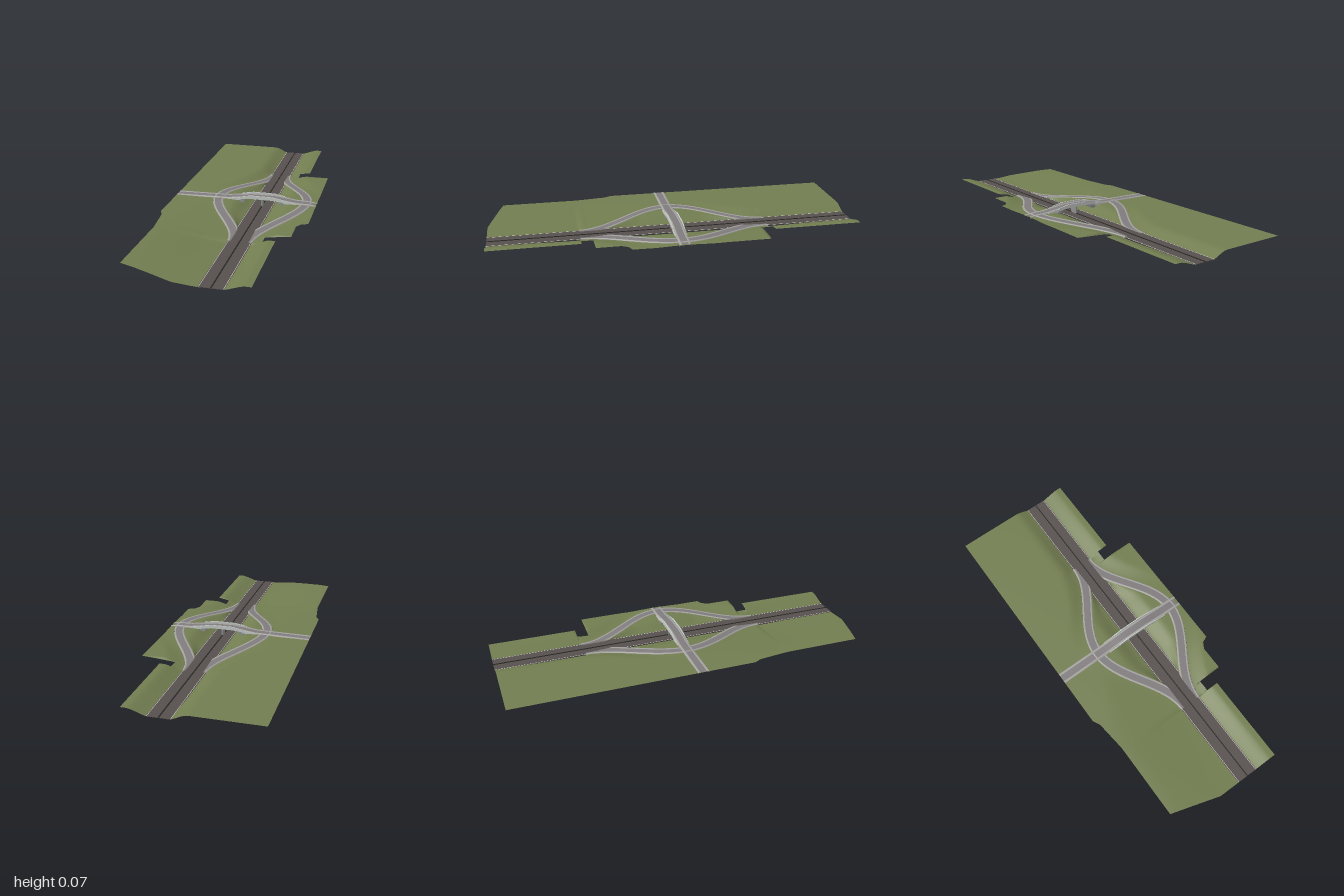
import * as THREE from 'three';

const mat = (name, color, side = THREE.DoubleSide) => {
  const m = new THREE.MeshStandardMaterial({ color, side });
  m.name = name;
  return m;
};
const CX = 0.09;      // highway centre line
const RAMP_END = 0.515;
const HALF = 0.028;   // ramp half width

const smooth = (t) => { t = Math.min(1, Math.max(0, t)); return t * t * (3 - 2 * t); };
const lerp = THREE.MathUtils.lerp;

// Piecewise linear lookup in [key, value] pairs
function lookup(pairs, k) {
  if (k <= pairs[0][0]) return pairs[0][1];
  for (let i = 1; i < pairs.length; i++) {
    const [a, va] = pairs[i - 1], [b, vb] = pairs[i];
    if (k <= b) return lerp(va, vb, (k - a) / (b - a));
  }
  return pairs[pairs.length - 1][1];
}

// Surface through rows of [x, y, z] points
function loft(name, rows, material) {
  const n = rows[0].length, index = [];
  for (let i = 0; i < rows.length - 1; i++)
    for (let j = 0; j < n - 1; j++) {
      const a = i * n + j, b = a + n;
      index.push(a, b, a + 1, b, b + 1, a + 1);
    }
  const g = new THREE.BufferGeometry();
  g.setAttribute('position', new THREE.Float32BufferAttribute(rows.flat(2), 3));
  g.setIndex(index);
  g.computeVertexNormals();
  const mesh = new THREE.Mesh(g, material);
  mesh.name = name;
  return mesh;
}

// Ramp distance from the highway centre, and ramp height
const swell = (z) => Math.abs(z) >= RAMP_END ? 0 : 0.5 + 0.5 * Math.cos(Math.PI * z / RAMP_END);
const rampD = (z) => 0.035 + 0.21 * swell(z);
const rampY = (z) => 0.012 + 0.031 * swell(z);
const rampSpread = (z) => Math.hypot(1, 0.64 * Math.sin(Math.PI * z / RAMP_END));

// Outer land borders as [z, x]
const BORDERS = {
  '-1': [[-1, -0.4], [0.29, -0.4], [0.33, -0.38], [0.5, -0.36], [0.92, -0.36], [1, -0.09]],
  '1': [[-1, 0.27], [-0.521, 0.27], [-0.52, 0.21], [-0.456, 0.21], [-0.455, 0.39], [0.27, 0.39],
    [0.285, 0.355], [0.32, 0.335], [0.45, 0.335], [0.451, 0.205], [0.514, 0.205], [0.515, 0.27], [1, 0.27]],
};

// Land on one side of the highway, split around the ramp
function addLand(group, side, material) {
  const border = BORDERS[side];
  const zs = border.map((p) => p[0]).concat([-RAMP_END, RAMP_END]);
  for (let i = 0; i <= 100; i++) zs.push(-1 + i * 0.02);
  const rowsZ = [...new Set(zs.map((z) => +z.toFixed(4)))].sort((a, b) => a - b);
  const outer = [], inner = [];
  for (const z of rowsZ) {
    const onRamp = Math.abs(z) < RAMP_END;
    const edgeY = lerp(0, 0.008, smooth((Math.abs(z) - 0.55) / 0.4));
    const spread = HALF * rampSpread(z);
    const start = onRamp ? Math.max(0.048, rampD(z) + spread) : 0.048;
    const startY = onRamp ? rampY(z) - 0.001 : edgeY;
    const end = side * (lookup(border, z) - CX);
    const bank = side < 0 ? lerp(0.08, 0.38, smooth((z - 0.1) / 0.4)) : 0.1;
    const top = side < 0 ? 0.04 : 0.038;
    const row = [];
    for (let j = 0; j <= 18; j++) {
      const d = lerp(start, end, Math.pow(j / 18, 1.4));
      const t = Math.min(1, (d - start) / bank);
      row.push([CX + side * d, lerp(startY, top, lerp(t, smooth(t), 0.4)), z]);
    }
    outer.push(row);
    if (onRamp) {
      const stop = Math.max(0.048, rampD(z) - spread), slope = [];
      for (let j = 0; j <= 10; j++) {
        const d = lerp(0.048, stop, j / 10);
        const t = (d - 0.048) / Math.max(0.001, Math.min(0.11, stop - 0.048));
        slope.push([CX + side * d, lerp(edgeY, rampY(z) - 0.001, smooth(t)), z]);
      }
      inner.push(slope);
    }
  }
  group.add(loft('outerLand', outer, material), loft('innerLand', inner, material));
}

// Curved slip road with a kerb on each side
function addRamp(group, side, asphalt, kerb) {
  const band = (name, offsets, material) => {
    const rows = [];
    for (let i = 0; i <= 64; i++) {
      const z = lerp(-RAMP_END, RAMP_END, i / 64);
      rows.push(offsets.map(([o, y]) => [
        CX + side * Math.max(0.046, rampD(z) + o * rampSpread(z)), rampY(z) + y, z]));
    }
    group.add(loft(name, rows, material));
  };
  band('rampSurface', [[-0.018, 0.001], [0.018, 0.001]], asphalt);
  for (const s of [-1, 1])
    band('rampKerb', [[s * 0.018, 0.001], [s * 0.019, 0.003], [s * 0.027, 0.003], [s * HALF, -0.004]], kerb);
}

export function createModel() {
  const model = new THREE.Group();
  const grass = mat('grass', 0x727d50);
  const dark = mat('darkAsphalt', 0x56504d);
  const grey = mat('greyAsphalt', 0x807c7e);
  const kerb = mat('kerbConcrete', 0xa6a4a1);
  const concrete = mat('bridgeConcrete', 0xc5cac7);
  const support = mat('supportConcrete', 0x8f9392);
  const black = mat('medianBlack', 0x2b2927);
  const white = mat('whitePaint', 0xdededa);

  const box = (name, w, h, d, x, y, z, material) => {
    const m = new THREE.Mesh(new THREE.BoxGeometry(w, h, d), material);
    m.name = name;
    m.position.set(x, y, z);
    model.add(m);
  };

  for (const side of [-1, 1]) {
    addLand(model, side, grass);
    addRamp(model, side, grey, kerb);
  }

  // Highway with median and edge lines
  box('highway', 0.12, 0.002, 2, CX, 0.01, 0, dark);
  box('median', 0.006, 0.003, 2, CX, 0.0122, 0, black);
  for (const s of [-1, 1]) box('edgeLine', 0.002, 0.0006, 2, CX + s * 0.056, 0.0113, 0, white);

  // Crossing road over the bridge
  const profile = [[-0.4, 0.041], [-0.17, 0.0455], [-0.1, 0.047], [-0.03, 0.056], [0.03, 0.063],
    [0.15, 0.063], [0.21, 0.056], [0.28, 0.047], [0.345, 0.0455], [0.39, 0.04]];
  const crossing = (name, offsets, material) => model.add(loft(name,
    profile.map(([x, y]) => offsets.map(([z, dy]) => [x, y + dy, z])), material));
  crossing('crossRoad', [[-0.018, 0], [0.018, 0]], grey);
  for (const s of [-1, 1])
    crossing('crossKerb', [[s * 0.018, 0], [s * 0.019, 0.0015], [s * 0.03, 0.0015], [s * 0.031, -0.007]], kerb);

  // Bridge slab and side walls
  const extrude = (name, pts, depth, z, material) => {
    const shape = new THREE.Shape(pts.map(([x, y]) => new THREE.Vector2(x, y)));
    const g = new THREE.ExtrudeGeometry(shape, { depth, bevelEnabled: false });
    g.translate(0, 0, z - depth / 2);
    const m = new THREE.Mesh(g, material);
    m.name = name;
    model.add(m);
  };
  const under = [[0.21, 0.046], [0.15, 0.053], [0.03, 0.053], [-0.03, 0.046]];
  extrude('bridgeSlab', [[-0.03, 0.054], [0.03, 0.061], [0.15, 0.061], [0.21, 0.054], ...under], 0.056, 0, support);
  for (const s of [-1, 1]) {
    extrude('bridgeWall', [[-0.03, 0.061], [0.03, 0.072], [0.15, 0.072], [0.21, 0.061], ...under],
      0.005, s * 0.031, concrete);
    // Tapering approach walls
    for (const e of [-1, 1])
      extrude('approachWall', [[CX + e * 0.12, 0.04], [CX + e * 0.12, 0.058], [CX + e * 0.19, 0.045], [CX + e * 0.19, 0.04]],
        0.004, s * 0.031, concrete);
  }

  // Middle pier, narrowing downward, and sloped abutments
  extrude('pier', [[0.087, 0.01], [0.093, 0.01], [0.095, 0.054], [0.085, 0.054]], 0.046, 0, support);
  for (const e of [-1, 1])
    extrude('abutment', [[CX + e * 0.09, 0.05], [CX + e * 0.1, 0.028], [CX + e * 0.125, 0.028], [CX + e * 0.125, 0.05]],
      0.058, 0, support);

  return model;
}
